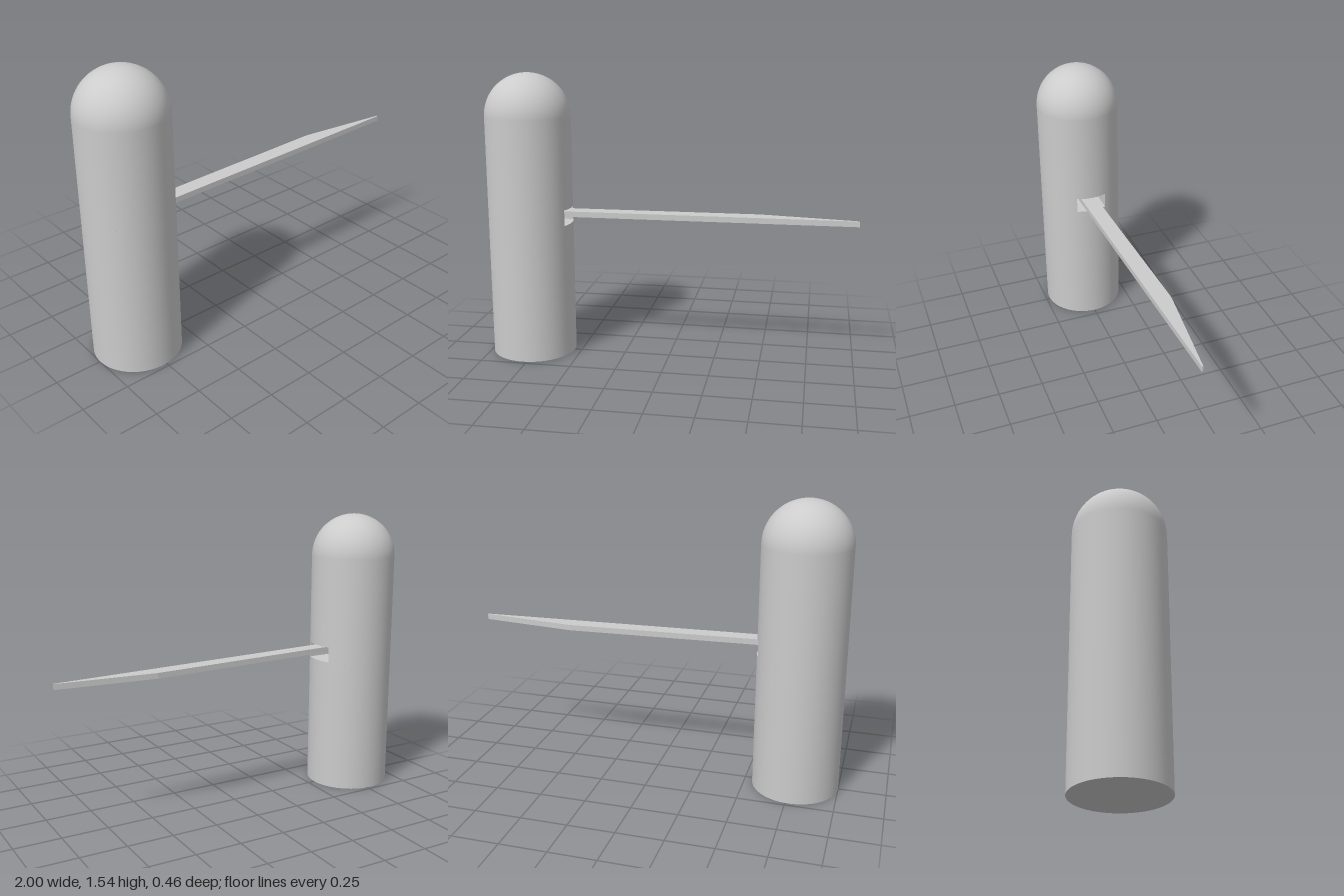
import * as THREE from 'three';

const R = 0.23, CX = -0.77;              // handle radius and axis position
const SLOT_LOW = 0.735, SLOT_HIGH = 0.82, SLOT_HALF = 0.085;
const DOME_Y = 1.315;
const SEGMENTS = 64;

export function createModel() {
  const model = new THREE.Group();
  const material = new THREE.MeshStandardMaterial({ color: 0xcccccc });
  const handle = new THREE.Group();
  handle.name = 'handle';
  handle.position.x = CX;
  model.add(handle);

  const add = (parent, name, geometry) => {
    const mesh = new THREE.Mesh(geometry, material);
    mesh.name = name;
    parent.add(mesh);
    return mesh;
  };

  const slotAngle = Math.asin(SLOT_HALF / R);
  const slotMouth = R * Math.cos(slotAngle);
  const slotHeight = SLOT_HIGH - SLOT_LOW;
  const slotY = (SLOT_LOW + SLOT_HIGH) / 2;

  // Open round wall between two heights
  const wall = (name, y0, y1, start = 0, length = Math.PI * 2) => {
    const g = new THREE.CylinderGeometry(R, R, y1 - y0, SEGMENTS, 1, true, start, length);
    add(handle, name, g.translate(0, (y0 + y1) / 2, 0));
  };
  wall('handleLower', 0, SLOT_LOW);
  wall('handleMiddle', SLOT_LOW, SLOT_HIGH, Math.PI / 2 + slotAngle, 2 * (Math.PI - slotAngle));
  wall('handleUpper', SLOT_HIGH, DOME_Y);

  // Rounded top and flat base
  add(handle, 'dome', new THREE.SphereGeometry(R, SEGMENTS, 24, 0, Math.PI * 2, 0, Math.PI / 2)
    .translate(0, DOME_Y, 0));
  add(handle, 'base', new THREE.CircleGeometry(R, SEGMENTS).rotateX(Math.PI / 2));

  // Slot: floor, ceiling, back and two sides
  const outline = new THREE.Shape();
  outline.moveTo(0, -SLOT_HALF);
  outline.lineTo(slotMouth, -SLOT_HALF);
  outline.absarc(0, 0, R, -slotAngle, slotAngle, false);
  outline.lineTo(0, SLOT_HALF);
  add(handle, 'slotFloor', new THREE.ShapeGeometry(outline)
    .rotateX(-Math.PI / 2).translate(0, SLOT_LOW, 0));
  add(handle, 'slotCeiling', new THREE.ShapeGeometry(outline)
    .rotateX(Math.PI / 2).translate(0, SLOT_HIGH, 0));
  add(handle, 'slotBack', new THREE.PlaneGeometry(SLOT_HALF * 2, slotHeight)
    .rotateY(Math.PI / 2).translate(0, slotY, 0));
  for (const side of [-1, 1]) {
    const g = new THREE.PlaneGeometry(slotMouth, slotHeight);
    if (side > 0) g.rotateY(Math.PI);
    add(handle, 'slotSide', g.translate(slotMouth / 2, slotY, side * SLOT_HALF));
  }

  // Blade: outline in x and -z, tapering to a point
  const edge = new THREE.Shape([
    [CX, -0.063], [1, -0.005], [1, 0.002], [0.48, 0.067], [CX, 0.02],
  ].map(([x, y]) => new THREE.Vector2(x, y)));
  const bladeGeometry = new THREE.ExtrudeGeometry(edge, { depth: 0.03, bevelEnabled: false });
  bladeGeometry.rotateX(-Math.PI / 2);
  // Slight droop towards the tip
  const p = bladeGeometry.attributes.position;
  for (let i = 0; i < p.count; i++) p.setY(i, p.getY(i) + 0.779 - 0.004 * (p.getX(i) + 0.54));
  bladeGeometry.computeVertexNormals();
  add(model, 'blade', bladeGeometry);

  return model;
}
